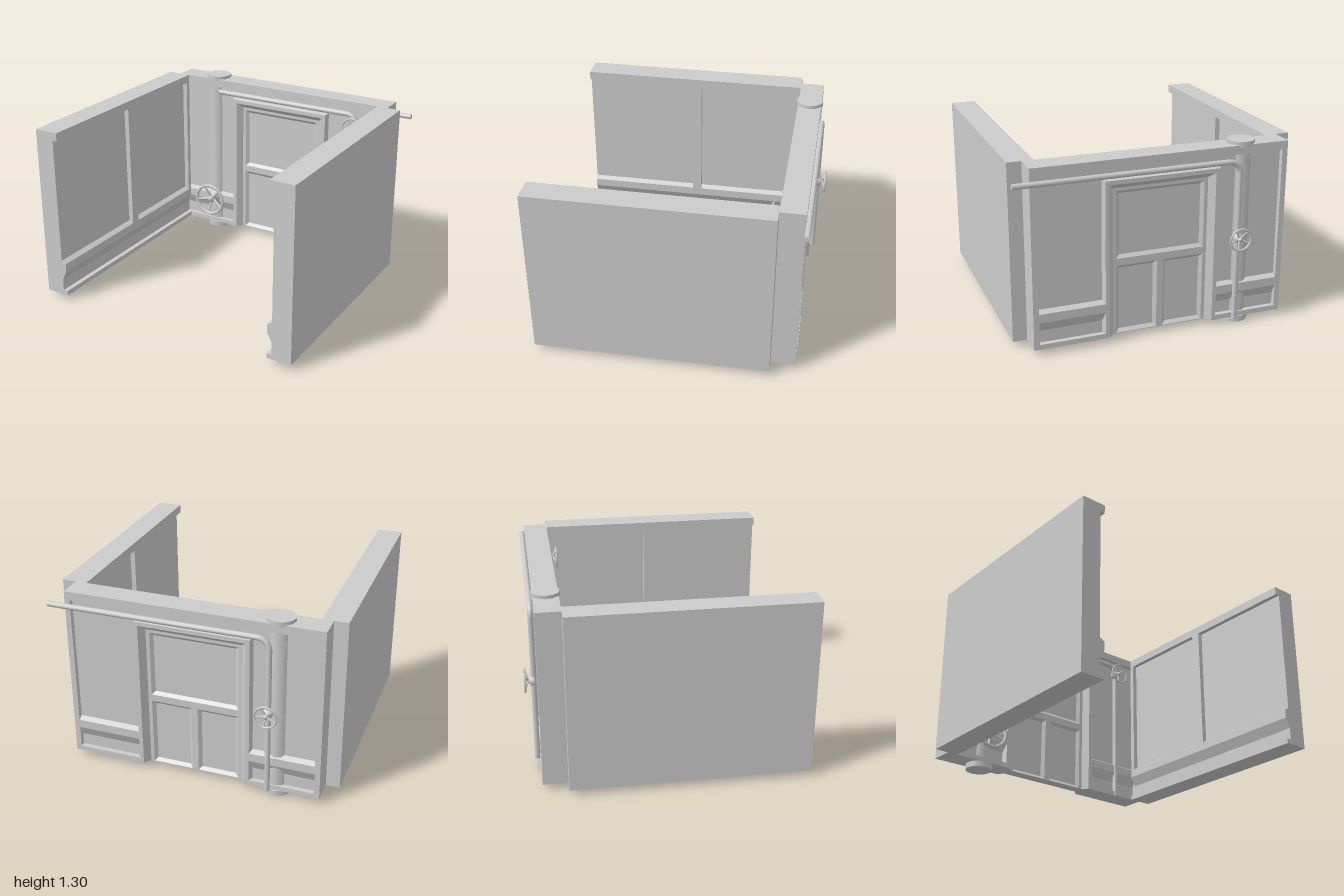
import * as THREE from 'three';

const mat = new THREE.MeshStandardMaterial({ color: 0xcccccc });
const flat = new THREE.MeshStandardMaterial({ color: 0xcccccc, flatShading: true, side: THREE.DoubleSide });
const Y0 = 0.04, Y1 = 1.275, RAIL = 1.215; // wall bottom, top and underside of the top rail
const MID = -0.785;                        // centre plane of the back wall

function add(parent, name, geo, x = 0, y = 0, z = 0, m = flat) {
  const mesh = new THREE.Mesh(geo, m);
  mesh.name = name;
  mesh.position.set(x, y, z);
  parent.add(mesh);
  return mesh;
}

function box(parent, name, x0, x1, y0, y1, z0, z1) {
  return add(parent, name, new THREE.BoxGeometry(x1 - x0, y1 - y0, z1 - z0), (x0 + x1) / 2, (y0 + y1) / 2, (z0 + z1) / 2);
}

const shapeOf = pts => new THREE.Shape(pts.map(([x, y]) => new THREE.Vector2(x, y)));
const extrude = (shape, depth) => new THREE.ExtrudeGeometry(shape, { depth, bevelEnabled: false });

// Moulded wall face: proud distance f, recessed distance r, from bottom to top
const wallProfile = (f, r) => [[f, Y0], [f, 0.075], [r, 0.075], [r, 0.16], [f, 0.23], [f, 0.29],
  [r, 0.31], [r, RAIL], [f, RAIL], [f, Y1]];

// Joins equal loops of points into a surface
function loft(loops, closedLoop, endCaps) {
  const n = loops[0].length, pos = loops.flat(2), idx = [];
  for (let i = 0; i < loops.length - 1; i++) {
    for (let j = 0; j < (closedLoop ? n : n - 1); j++) {
      const k = (j + 1) % n, a = i * n + j, b = i * n + k;
      idx.push(a, b, b + n, a, b + n, a + n);
    }
  }
  for (const c of endCaps) for (let j = 1; j < n - 1; j++) idx.push(c * n, c * n + j, c * n + j + 1);
  const g = new THREE.BufferGeometry();
  g.setAttribute('position', new THREE.Float32BufferAttribute(pos, 3));
  g.setIndex(idx);
  const out = g.toNonIndexed();
  out.computeVertexNormals();
  return out;
}

function sideWall(parent, s, name) {
  const wall = new THREE.Group();
  wall.name = name;
  const pts = [[0.99, Y0], ...wallProfile(0.815, 0.85), [0.99, Y1]].map(([x, y]) => [s * x, y]);
  add(wall, 'mouldedWall', extrude(shapeOf(pts), 1.645), 0, 0, -0.7);
  for (const [z0, z1] of [[0.06, 0.13], [-0.7, -0.665]]) {
    const a = s * 0.815, b = s * 0.87;
    box(wall, 'wallStile', Math.min(a, b), Math.max(a, b), 0.29, RAIL, z0, z1);
  }
  parent.add(wall);
}

function backWall(parent) {
  const wall = new THREE.Group();
  wall.name = 'backWall';
  wall.position.z = MID;
  const half = wallProfile(0.085, 0.05);
  const section = shapeOf([...half, ...half.map(([z, y]) => [-z, y]).reverse()]);
  for (const s of [-1, 1]) {
    add(wall, 'panelledSection', extrude(section, 0.46).rotateY(Math.PI / 2), s > 0 ? 0.4 : -0.86);
    const a = s * 0.855, b = s * 0.893;
    box(wall, 'cornerPost', Math.min(a, b), Math.max(a, b), Y0, Y1, -0.085, 0.085);
  }
  box(wall, 'overDoorPanel', -0.4, 0.4, 1.1, RAIL, -0.05, 0.05);
  box(wall, 'topRail', -0.4, 0.4, RAIL, Y1, -0.085, 0.085);
  for (const turn of [0, Math.PI]) {
    const face = new THREE.Group();
    face.name = 'doorFace';
    face.rotation.y = turn;
    doorFace(face);
    wall.add(face);
  }
  parent.add(wall);
}

// One face of the door with its surround
function doorFace(parent) {
  const sect = [[0.335, 0], [0.335, 0.04], [0.372, 0.085], [0.4, 0.085], [0.415, 0.05], [0.415, 0]];
  const loops = [[-1, 0], [-1, 1], [1, 1], [1, 0]].map(([s, top]) =>
    sect.map(([o, z]) => [s * o, top ? 0.735 + o : Y0, z]));
  add(parent, 'doorSurround', loft(loops, true, [0, 3]));

  const slab = shapeOf([[-0.34, Y0], [0.34, Y0], [0.34, 1.08], [-0.34, 1.08]]);
  const panels = [[-0.31, 0.31, 0.58, 1.048], [-0.31, -0.022, 0.045, 0.53], [0.022, 0.31, 0.045, 0.53]];
  for (const [x0, x1, y0, y1] of panels) {
    slab.holes.push(new THREE.Path([[x0, y0], [x0, y1], [x1, y1], [x1, y0]].map(p => new THREE.Vector2(...p))));
    const ring = (d, z) => [[x0 + d, y0 + d, z], [x1 - d, y0 + d, z], [x1 - d, y1 - d, z], [x0 + d, y1 - d, z]];
    add(parent, 'doorPanel', loft([ring(0, 0.04), ring(0.022, 0.02)], true, [1]));
  }
  add(parent, 'doorSlab', extrude(slab, 0.04));
}

// Thin pipe: horizontal run, quarter bend, then a vertical drop
function bentPipe(parent, name, xEnd, xDrop, z, r) {
  const g = new THREE.Group(), y = 1.175, bend = 0.08;
  g.name = name;
  const s = Math.sign(xDrop - xEnd), xc = xDrop - s * bend, yc = y - bend;
  const run = Math.abs(xc - xEnd);
  add(g, 'pipeRun', new THREE.CylinderGeometry(r, r, run, 12).rotateZ(Math.PI / 2), (xc + xEnd) / 2, y, z, mat);
  const elbow = new THREE.TorusGeometry(bend, r, 12, 10, Math.PI / 2);
  if (s < 0) elbow.rotateZ(Math.PI / 2);
  add(g, 'pipeElbow', elbow, xc, yc, z, mat);
  add(g, 'pipeDrop', new THREE.CylinderGeometry(r, r, yc - Y0, 12), xDrop, (yc + Y0) / 2, z, mat);
  parent.add(g);
}

// Valve wheel facing +z, its base at the origin and its rim at the given depth
function valveWheel(parent, name, radius, depth, x, y, z, turn = 0) {
  const g = new THREE.Group(), k = radius / 0.135, rim = 0.012 * k;
  g.name = name;
  const stem = [[0.058 * k, -0.02], [0.055 * k, 0.005], [0.02 * k, depth * 0.45], [0.024 * k, depth * 0.55],
    [0.024 * k, depth], [0, depth + 0.004]].map(p => new THREE.Vector2(...p));
  add(g, 'valveStem', new THREE.LatheGeometry(stem, 12).rotateX(Math.PI / 2), 0, 0, 0, mat);
  add(g, 'wheelRim', new THREE.TorusGeometry(radius - rim, rim, 8, 16), 0, 0, depth, mat);
  for (let i = 0; i < 5; i++) {
    const a = Math.PI / 4 + i * Math.PI * 2 / 5;
    const p = new THREE.Vector3(0, 0, depth * 0.5);
    const q = new THREE.Vector3(Math.cos(a) * (radius - rim), Math.sin(a) * (radius - rim), depth);
    const spoke = new THREE.CylinderGeometry(0.007 * k, 0.013 * k, p.distanceTo(q), 8);
    const m = add(g, 'wheelSpoke', spoke, 0, 0, 0, mat);
    m.position.copy(p).add(q).multiplyScalar(0.5);
    m.quaternion.setFromUnitVectors(new THREE.Vector3(0, 1, 0), q.sub(p).normalize());
  }
  g.position.set(x, y, z);
  g.rotation.y = turn;
  parent.add(g);
}

export function createModel() {
  const model = new THREE.Group();
  model.name = 'roomModule';
  const walls = new THREE.Group();
  walls.name = 'walls';
  walls.position.x = -0.01;
  model.add(walls);
  sideWall(walls, 1, 'leftWall');
  sideWall(walls, -1, 'rightWall');
  backWall(walls);

  // Main vertical pipe with end collars
  const main = new THREE.Group();
  main.name = 'mainPipe';
  main.position.set(-0.591, 0, MID);
  add(main, 'pipeShaft', new THREE.CylinderGeometry(0.078, 0.078, 1.26, 12), 0, 0.65, 0, mat);
  for (const y of [0.02, 1.278]) add(main, 'pipeCollar', new THREE.CylinderGeometry(0.096, 0.096, 0.04, 12), 0, y, 0, mat);
  model.add(main);

  bentPipe(model, 'frontPipe', -0.54, 0.64, -0.71, 0.02);
  bentPipe(model, 'rearPipe', 1, -0.545, -0.886, 0.019);
  valveWheel(model, 'largeValveWheel', 0.135, 0.08, -0.593, 0.262, -0.707);
  valveWheel(model, 'smallValveWheel', 0.083, 0.05, 0.635, 1.09, -0.692);
  valveWheel(model, 'rearValveWheel', 0.083, 0.045, -0.543, 0.64, -0.9, Math.PI);
  return model;
}
